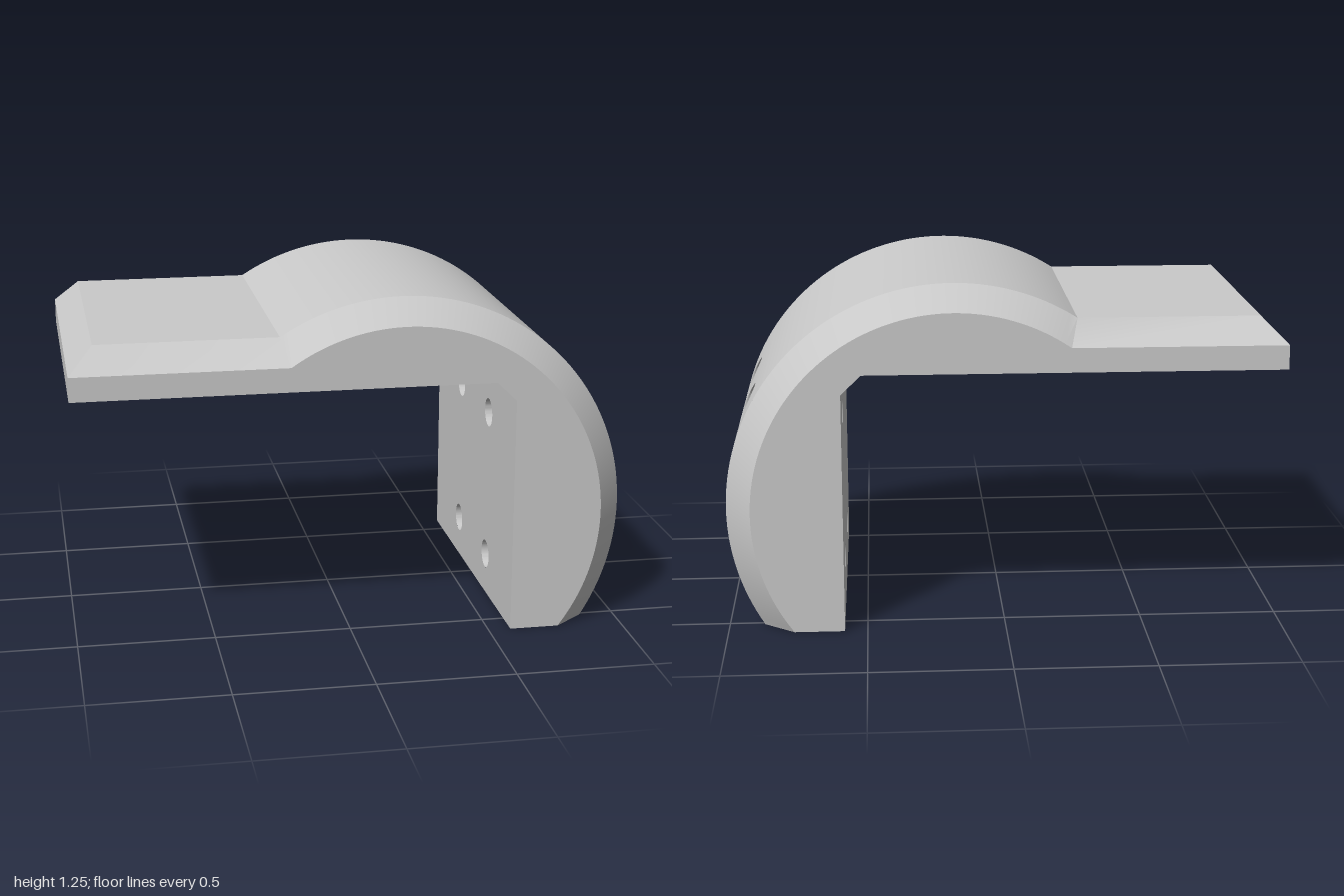
import * as THREE from 'three';
import { toCreasedNormals } from 'three/addons/utils/BufferGeometryUtils.js';

const CX = 0.185, CY = 0.438, R = 0.815;  // axis and radius of the rounded back
const C = 0.09;                           // edge chamfer
const W = 0.603, WI = 0.515;              // half width, and half width inside the chamfers
const WALL = 0.582, SEAT = 0.7;           // inner wall and screw seat, in x
const BORE = 0.054, RECESS = 0.107;
const STEPS = 72, SPLIT = 31;

const V = (x, y, z) => new THREE.Vector3(x, y, z);
const arcX = (y) => CX + Math.sqrt(R * R - (y - CY) ** 2);

// Surface through rows of points; facing (along row) x (to next row)
function loft(rows) {
  const n = rows[0].length, index = [];
  for (let i = 0; i < rows.length - 1; i++) {
    for (let j = 0; j < n - 1; j++) {
      const a = i * n + j, d = a + n;
      index.push(a, a + 1, d + 1, a, d + 1, d);
    }
  }
  const geo = new THREE.BufferGeometry().setFromPoints(rows.flat());
  geo.setIndex(index);
  return toCreasedNormals(geo, 0.4);
}

// Upper profile: arc from the foot over the top, then the flat tongue
function profile(radius, top, end) {
  const a0 = Math.asin(-CY / radius), a1 = Math.PI - Math.asin((top - CY) / radius);
  const pts = [];
  for (let i = 0; i <= STEPS; i++) {
    const a = a0 + (a1 - a0) * i / STEPS;
    pts.push([CX + radius * Math.cos(a), CY + radius * Math.sin(a)]);
  }
  pts.push([end, top]);
  return pts;
}

export function createModel() {
  const group = new THREE.Group();
  const grey = new THREE.MeshStandardMaterial({ color: 0xcacaca });
  grey.name = 'grey';
  const add = (name, geo) => {
    const mesh = new THREE.Mesh(geo, grey);
    mesh.name = name;
    group.add(mesh);
  };

  const outer = profile(R, 1.123, -1 + C);
  const inset = profile(R - C, 1.123 - C, -1);
  const at = (pts, z) => pts.map(([x, y]) => V(x, y, z));

  // Outer skin above the screw holes, and the bevels around it
  const upper = outer.slice(SPLIT);
  add('topSkin', loft([at(upper, -WI), at(upper, WI)]));
  add('frontBevel', loft([at(outer, WI), at(inset, W)]));
  add('backBevel', loft([at(inset, -W), at(outer, -WI)]));
  const tip = [V(-1 + C, 1.123, -WI), V(-1, 1.123 - C, -W)];
  add('tongueBevel', loft([tip, tip.map((p) => V(p.x, p.y, -p.z))]));

  // Underside of the tongue, inner corner bevel and tongue end
  const under = [[-1, 1.123 - C], [-1, 0.945], [0.51, 0.945], [WALL, 0.875]];
  add('underside', loft([at(under, -W), at(under, W)]));

  // Flat side faces
  const outline = [...inset, ...under.slice(1), [WALL, 0]];
  const side = (sx) => new THREE.ShapeGeometry(
    new THREE.Shape(outline.map(([x, y]) => new THREE.Vector2(x * sx, y)))).translate(0, 0, W);
  add('frontSide', side(1));
  add('backSide', side(-1).rotateY(Math.PI));

  // Foot face
  const foot = new THREE.Shape([[WALL, -W], [inset[0][0], -W], [outer[0][0], -WI],
    [outer[0][0], WI], [inset[0][0], W], [WALL, W]].map(([x, z]) => new THREE.Vector2(x, z)));
  add('foot', new THREE.ShapeGeometry(foot).rotateX(Math.PI / 2));

  // Inner wall with four bores
  const wall = new THREE.Shape([[-W, 0], [W, 0], [W, 0.875], [-W, 0.875]]
    .map(([z, y]) => new THREE.Vector2(z, y)));

  // Curved skin cells, each with a recessed screw hole
  const ySplit = outer[SPLIT][1], yMid = 0.4365;
  for (const [yc, y0, y1] of [[0.152, 0, yMid], [0.72, yMid, ySplit]]) {
    for (const s of [-1, 1]) {
      const zc = 0.213 * s, z0 = Math.min(0, WI * s), z1 = Math.max(0, WI * s);
      const corners = [[y0, z0], [y1, z0], [y1, z1], [y0, z1], [y0, z0]];
      const rim = [];
      for (let k = 0; k < 4; k++) {
        for (let i = k ? 1 : 0; i <= 16; i++) {
          rim.push([0, 1].map((c) => THREE.MathUtils.lerp(corners[k][c], corners[k + 1][c], i / 16)));
        }
      }
      const circle = (r) => rim.map(([y, z]) => {
        const a = Math.atan2(z - zc, y - yc);
        return [yc + r * Math.cos(a), zc + r * Math.sin(a)];
      });
      const edge = circle(RECESS), bore = circle(BORE);
      const rows = [];
      for (let k = 0; k <= 8; k++) {
        rows.push(rim.map(([y, z], i) => {
          const py = THREE.MathUtils.lerp(y, edge[i][0], k / 8);
          return V(arcX(py), py, THREE.MathUtils.lerp(z, edge[i][1], k / 8));
        }));
      }
      add('curvedSkin', loft(rows));
      const flat = (pts, x) => pts.map(([y, z]) => V(x, y, z));
      add('screwHole', loft([rows[8], flat(edge, SEAT), flat(bore, SEAT), flat(bore, WALL)]));
      wall.holes.push(new THREE.Path().absarc(zc, yc, BORE, 0, Math.PI * 2, true));
    }
  }
  add('innerWall', new THREE.ShapeGeometry(wall, 32).rotateY(-Math.PI / 2).translate(WALL, 0, 0));

  return group;
}
